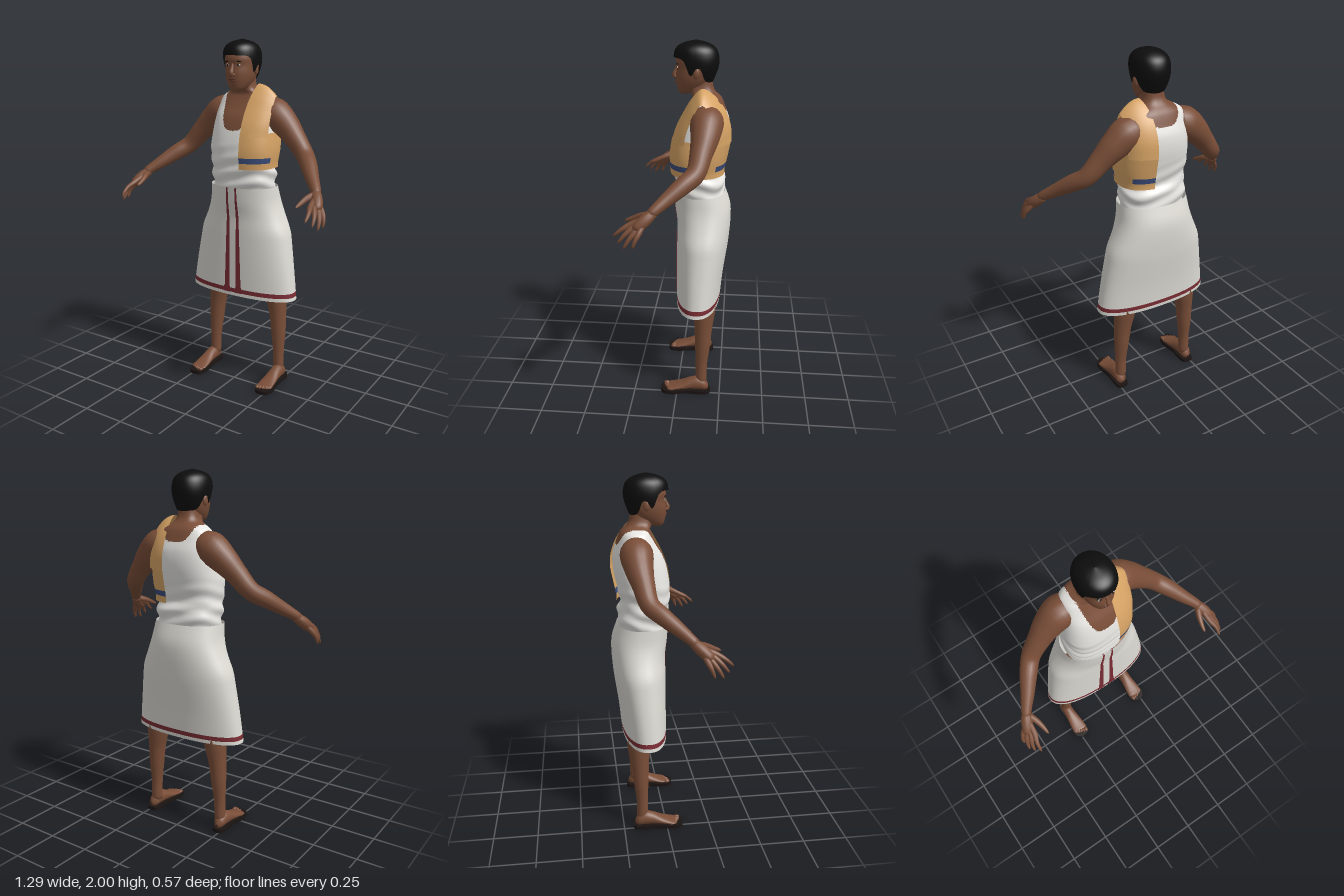
import * as THREE from 'three';

const mat = (name, color, side = THREE.FrontSide) =>
  Object.assign(new THREE.MeshStandardMaterial({ color, side }), { name });
const skin = mat('skin', 0x7a4e38);
const shirtWhite = mat('shirt white', 0xebeae6);
const skirtWhite = mat('skirt white', 0xdcdad3, THREE.DoubleSide);
const red = mat('border red', 0x7a2c33, THREE.DoubleSide);
const ochre = mat('shawl ochre', 0xd6a365, THREE.DoubleSide);
const blue = mat('stripe blue', 0x3a4c7a, THREE.DoubleSide);
const hairBlack = mat('hair black', 0x0d0d0d, THREE.DoubleSide);
const eyeWhite = mat('eye white', 0xc4b6a8);
const lip = mat('lip brown', 0x5c3528);
const soleDark = mat('sole dark', 0x1b1413);

// Smooth interpolation of rows [t, a, b, ...] at t
function section(rows, t) {
  const n = rows.length - 1;
  t = Math.min(Math.max(t, rows[0][0]), rows[n][0]);
  let k = 0;
  while (k < n - 1 && t > rows[k + 1][0]) k++;
  const h = rows[k + 1][0] - rows[k][0], s = (t - rows[k][0]) / h;
  const slope = (i, c) => {
    const p = rows[Math.max(i - 1, 0)], q = rows[Math.min(i + 1, n)];
    return (q[c] - p[c]) / (q[0] - p[0]);
  };
  return rows[k].slice(1).map((a, i) => {
    const c = i + 1, b = rows[k + 1][c], s2 = s * s, s3 = s2 * s;
    return a * (2 * s3 - 3 * s2 + 1) + b * (3 * s2 - 2 * s3)
      + h * (slope(k, c) * (s3 - 2 * s2 + s) + slope(k + 1, c) * (s3 - s2));
  });
}

// Grid surface; pick(centre) chooses the material of a cell, or -1 to leave it out
function sheet(name, nu, nv, closed, fn, mats, pick = () => 0) {
  const cols = closed ? nu : nu + 1, pos = [], faces = mats.map(() => []);
  for (let j = 0; j <= nv; j++)
    for (let i = 0; i < cols; i++) pos.push(...fn(i / nu, j / nv, j));
  for (let j = 0; j < nv; j++) for (let i = 0; i < nu; i++) {
    const r = (i + 1) % cols;
    const a = j * cols + i, b = j * cols + r, c = b + cols, d = a + cols;
    for (const tri of [[a, b, c], [a, c, d]]) {
      const m = pick(...[0, 1, 2].map(q => tri.reduce((s, v) => s + pos[v * 3 + q], 0) / 3));
      if (m >= 0) faces[m].push(...tri);
    }
  }
  const g = new THREE.BufferGeometry();
  g.setAttribute('position', new THREE.Float32BufferAttribute(pos, 3));
  g.setIndex(faces.flat());
  let start = 0;
  faces.forEach((f, m) => { g.addGroup(start, f.length, m); start += f.length; });
  g.computeVertexNormals();
  const mesh = new THREE.Mesh(g, mats.length > 1 ? mats : mats[0]);
  mesh.name = name;
  return mesh;
}

// Point on a body whose rows are [y, half width, front z, back z]
const pw = (v, e) => Math.sign(v) * Math.abs(v) ** e;
function around(rows, n, u, y, off = 0) {
  const [w, f, b] = section(rows, y), a = -u * Math.PI * 2;
  return [(w + off) * pw(Math.cos(a), 2 / n), y,
    (f + b) / 2 + ((f - b) / 2 + off) * pw(Math.sin(a), 2 / n)];
}
function frontZ(rows, n, x, y) {
  const [w, f, b] = section(rows, y);
  return (f + b) / 2 + (f - b) / 2 * (1 - Math.abs(x / w) ** n) ** (1 / n);
}

// Tapered round limb through points [x, y, z, radius]
function limb(name, pts, material, nu = 16, nv = 24) {
  const curve = new THREE.CatmullRomCurve3(pts.map(p => new THREE.Vector3(p[0], p[1], p[2])));
  const radii = pts.map((p, i) => [i / (pts.length - 1), p[3]]);
  const { normals, binormals } = curve.computeFrenetFrames(nv);
  // curve.getPointAt is by length, so find the matching parameter for the radius
  return sheet(name, nu, nv, true, (u, v, j) => {
    const a = u * Math.PI * 2;
    const r = section(radii, curve.getUtoTmapping(v))[0] * (j === 0 || j === nv ? 0.05 : 1);
    return curve.getPointAt(v).addScaledVector(normals[j], r * Math.cos(a))
      .addScaledVector(binormals[j], r * Math.sin(a)).toArray();
  }, [material]);
}

function ball(name, material, x, y, z, sx, sy, sz, tilt = 0) {
  const m = new THREE.Mesh(new THREE.SphereGeometry(1, 16, 10), material);
  m.name = name;
  m.position.set(x, y, z);
  m.scale.set(sx, sy, sz);
  m.rotation.z = tilt;
  return m;
}

const TORSO = [[1.1, .17, 0, -.24], [1.2, .18, .022, -.245], [1.26, .186, .03, -.248], [1.31, .182, .036, -.232],
  [1.4, .192, .04, -.248], [1.5, .185, .025, -.266], [1.58, .175, 0, -.265], [1.64, .165, -.035, -.245],
  [1.69, .145, -.06, -.225], [1.71, .115, -.065, -.21], [1.73, .075, -.055, -.19], [1.76, .06, -.04, -.175], [1.82, .056, -.035, -.17]];
const SKIRT = [[.54, .345, .015, -.235], [.7, .322, .015, -.25], [.88, .291, .015, -.275], [.93, .28, .015, -.28],
  [1.02, .24, .015, -.286], [1.1, .212, .026, -.282], [1.19, .2, .032, -.252]];
const HEAD = [[1.722, .02, 0, -.04], [1.735, .042, .01, -.09], [1.76, .06, .018, -.13], [1.79, .073, .023, -.16],
  [1.82, .08, .024, -.175], [1.86, .084, .019, -.185], [1.9, .085, .022, -.185], [1.95, .075, 0, -.17], [1.985, .03, -.04, -.12]];
const HAIR = [[1.78, .07, 0, -.17], [1.82, .088, .02, -.187], [1.87, .099, .03, -.203], [1.92, .1, .035, -.203],
  [1.96, .087, .022, -.185], [1.985, .055, -.015, -.145], [2, .004, -.075, -.09]];
const HAIRLINE = [[-1, 1.785], [-.5, 1.8], [-.2, 1.86], [0, 1.86], [.15, 1.825], [.3, 1.835], [.5, 1.9], [1, 1.915]];
const FOOT = [[-.185, .004, .045, .03], [-.172, .026, .075, .018], [-.13, .034, .1, .018], [-.08, .036, .09, .018],
  [-.03, .042, .065, .018], [.02, .046, .045, .018], [.05, .042, .036, .018], [.066, .004, .028, .022]];

export function createModel() {
  const model = new THREE.Group();

  // Torso and neck, with a sleeveless shirt creased at the waist
  model.add(sheet('torsoAndShirt', 128, 110, true, (u, v) => {
    const y = 1.1 + .72 * v, a = u * Math.PI * 2;
    const fold = y < 1.45 ? .005 * Math.sin(y * 75 + 2.5 * Math.sin(a * 2)) * Math.min(1, (1.45 - y) * 6) : 0;
    return around(TORSO, 2.5, u, y, fold);
  }, [skin, shirtWhite], (x, y, z) => {
    const ax = Math.abs(x), neck = (z > -.13 ? 1.51 : 1.63) + (ax / .1) ** 4 * (z > -.13 ? .2 : .08);
    return y < Math.min(neck, 1.715) && ax < .2 - Math.max(0, y - 1.48) * .22 ? 1 : 0;
  }));

  // Wrapped skirt with a coloured hem and two border stripes at the front
  const rows = [.54, .56, .585];
  for (let i = 1; i <= 24; i++) rows.push(.585 + .605 * i / 24);
  model.add(sheet('skirt', 96, rows.length - 1, true, (u, v, j) => around(SKIRT, 2.3, u, rows[j]),
    [skirtWhite, red], (x, y) => (y > .56 && y < .585 ? 1 : 0)));
  for (const s of [-1, 1]) for (const off of [.004, -.004])
    model.add(sheet('skirtStripe', 2, 30, false, (u, v) => {
      const y = .56 + .63 * v, flare = y < .6 ? .008 : 0;
      const inner = .022 - flare, outer = .056 - .023 * v + flare;
      const x = s > 0 ? inner + (outer - inner) * u : -outer + (outer - inner) * u;
      return [x, y, frontZ(SKIRT, 2.3, x, y) + off];
    }, [red]));

  // Shawl: lower part round the side, upper part over the shoulder
  const shawlRows = [1.3, 1.318, 1.335, 1.365, 1.39, 1.42, 1.45, 1.48, 1.5];
  model.add(sheet('shawlSide', 128, shawlRows.length - 1, true, (u, v, j) => {
    const p = around(TORSO, 2.5, u, shawlRows[j], .016);
    return [Math.max(p[0], .06), p[1], p[2]];
  }, [ochre, blue], (x, y, z) => x < .0601 ? -1
    : y > 1.335 && y < 1.365 && (z > -.06 || z < -.2) ? 1 : 0));
  const path = new THREE.CatmullRomCurve3([[.044, 1.48], [.022, 1.55], [-.02, 1.635], [-.07, 1.715], [-.12, 1.76],
    [-.175, 1.735], [-.24, 1.66], [-.276, 1.57], [-.283, 1.48]].map(([z, y]) => new THREE.Vector3(0, y, z)));
  model.add(sheet('shawlShoulder', 14, 40, false, (u, v) => {
    const p = path.getPoint(v), top = Math.sin(v * Math.PI) ** 2;
    const x = .06 + .024 * top ** 3 + u * (.136 - .024 * top ** 3);
    const pull = (1 - (x / .215) ** 2.5) ** .4;
    return [x, p.y - .065 * top * u * u, -.12 + (p.z + .12) * pull];
  }, [ochre]));

  // Head and hair
  model.add(sheet('head', 40, 40, true, (u, v) => around(HEAD, 2.2, u, 1.722 + .263 * v), [skin]));
  model.add(sheet('hair', 64, 24, true, (u, v) => {
    const low = section(HAIRLINE, Math.sin(-u * Math.PI * 2))[0];
    return around(HAIR, 2.1, u, low + (2 - low) * Math.sin(v * Math.PI / 2));
  }, [hairBlack]));

  // Face
  const face = new THREE.Group();
  face.name = 'face';
  face.add(limb('nose', [[0, 1.875, .014, .006], [0, 1.845, .024, .009], [0, 1.818, .032, .013], [0, 1.805, .02, .01]], skin, 12, 12));
  face.add(ball('upperLip', lip, 0, 1.788, .022, .022, .005, .007));
  face.add(ball('lowerLip', lip, 0, 1.78, .021, .018, .005, .007));
  for (const s of [-1, 1]) {
    const x = s * .034, z = frontZ(HEAD, 2.2, x, 1.863);
    face.add(ball('eye', eyeWhite, x, 1.863, z, .014, .006, .004));
    face.add(ball('iris', hairBlack, x, 1.863, z + .003, .0055, .0055, .003));
    face.add(ball('eyebrow', hairBlack, x, 1.882, z + .001, .02, .004, .005, -s * .08));
    face.add(ball('nostril', skin, s * .012, 1.812, .025, .008, .007, .009));
    face.add(ball('ear', skin, s * .086, 1.838, -.088, .011, .029, .019));
  }
  model.add(face);

  for (const s of [-1, 1]) {
    const side = s > 0 ? 'left' : 'right';
    const part = (name, pts, nu, nv) =>
      limb(side + name, pts.map(([x, y, z, r]) => [s * x, y, z, r]), skin, nu, nv);

    // Arm and hand
    model.add(part('Arm', [[.1, 1.61, -.15, .07], [.165, 1.6, -.152, .088], [.24, 1.545, -.147, .076], [.31, 1.475, -.132, .06],
      [.385, 1.39, -.108, .05], [.44, 1.345, -.05, .046], [.5, 1.29, .025, .036], [.55, 1.245, .085, .027], [.565, 1.225, .11, .024]], 20, 40));
    const hand = new THREE.Group();
    hand.name = side + 'Hand';
    hand.add(part('Palm', [[.545, 1.245, .08, .024], [.573, 1.21, .12, .031], [.595, 1.175, .16, .027], [.605, 1.16, .175, .012]], 14, 14));
    [[.574, 1.185, .195, .59, 1.125, .282], [.592, 1.172, .185, .617, 1.1, .255],
      [.608, 1.16, .168, .634, 1.078, .225], [.618, 1.155, .148, .64, 1.082, .18]].forEach(([kx, ky, kz, tx, ty, tz]) =>
      hand.add(part('Finger', [[.565, 1.22, .115, .014], [kx, ky, kz, .0145],
        [(kx + tx) / 2 + .006, (ky + ty) / 2 + .006, (kz + tz) / 2, .011], [tx, ty, tz, .006]], 10, 14)));
    hand.add(part('Thumb', [[.553, 1.23, .1, .02], [.53, 1.215, .15, .016], [.518, 1.195, .195, .012], [.512, 1.18, .235, .006]], 10, 12));
    model.add(hand);

    // Leg
    model.add(part('Leg', [[.17, .85, -.13, .09], [.185, .68, -.14, .08], [.199, .54, -.152, .066], [.213, .42, -.15, .051],
      [.221, .3, -.147, .043], [.226, .18, -.142, .033], [.228, .08, -.142, .032], [.23, .04, -.142, .028]], 20, 36));

    // Foot, toes and sole
    const foot = new THREE.Group();
    foot.name = side + 'Foot';
    foot.add(sheet('foot', 24, 24, true, (u, v) => {
      const z = -.185 + .251 * v, [w, t, b] = section(FOOT, z), a = u * Math.PI * 2;
      return [w * Math.cos(a), (t + b) / 2 + (t - b) / 2 * Math.sin(a), z];
    }, [skin]));
    for (let i = 0; i < 5; i++)
      foot.add(ball('toe', skin, s * (-.032 + i * .017), .028, .062 - i * i * .0022, i ? .009 : .012, .01, .018));
    const half = [[.03, -.185], [.038, -.14], [.036, -.06], [.05, .02], [.045, .07], [.022, .092]];
    const outline = [[0, -.195], ...half, ...half.map(([x, y]) => [-x, y]).reverse(), [0, -.195]];
    const shape = new THREE.Shape();
    shape.moveTo(0, -.195);
    shape.splineThru(outline.slice(1).map(([x, y]) => new THREE.Vector2(x, y)));
    const sole = new THREE.Mesh(new THREE.ExtrudeGeometry(shape, { depth: .02, bevelEnabled: false, curveSegments: 36 })
      .rotateX(Math.PI / 2).translate(0, .02, 0), soleDark);
    sole.name = 'sole';
    foot.add(sole);
    foot.position.x = s * .235;
    model.add(foot);
  }
  return model;
}
